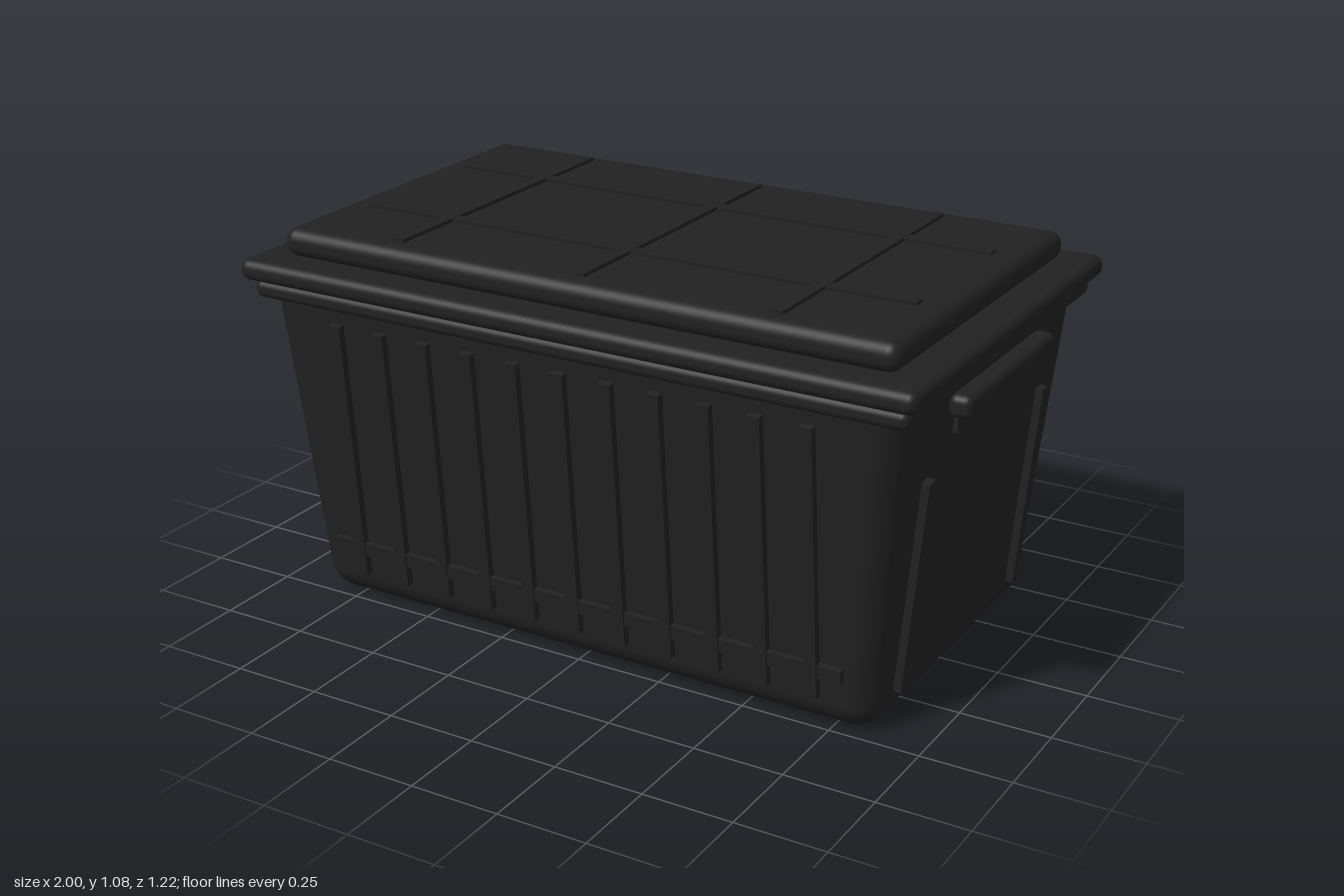
import * as THREE from 'three';
import { RoundedBoxGeometry } from 'three/addons/geometries/RoundedBoxGeometry.js';

const BASE_X = 0.862, BASE_Z = 0.492;    // half sizes of the tub at the floor
const SLOPE_X = 0.092, SLOPE_Z = 0.085;  // outward lean of the walls
const TUB_H = 0.96;

export function createModel() {
  const model = new THREE.Group();
  model.name = 'storageBox';
  const plastic = new THREE.MeshStandardMaterial({ color: 0x212121 });
  plastic.name = 'black plastic';

  const add = (name, geometry, x, y, z, parent = model) => {
    const mesh = new THREE.Mesh(geometry, plastic);
    mesh.name = name;
    mesh.position.set(x, y, z);
    parent.add(mesh);
    return mesh;
  };
  const slab = (name, halfX, y0, y1, halfZ, radius) =>
    add(name, new RoundedBoxGeometry(halfX * 2, y1 - y0, halfZ * 2, 5, radius), 0, (y0 + y1) / 2, 0);

  // Tub: rounded box widened towards the top, normals tilted to match
  const tub = new RoundedBoxGeometry(BASE_X * 2, TUB_H, BASE_Z * 2, 6, 0.075);
  tub.translate(0, TUB_H / 2, 0);
  const p = tub.attributes.position, n = tub.attributes.normal;
  const v = new THREE.Vector3();
  for (let i = 0; i < p.count; i++) {
    const y = p.getY(i);
    v.fromBufferAttribute(n, i);
    v.y -= SLOPE_X * Math.abs(v.x) + SLOPE_Z * Math.abs(v.z);
    v.normalize();
    n.setXYZ(i, v.x, v.y, v.z);
    p.setX(i, p.getX(i) * (1 + SLOPE_X * y / BASE_X));
    p.setZ(i, p.getZ(i) * (1 + SLOPE_Z * y / BASE_Z));
  }
  add('tub', tub, 0, 0, 0);

  // Rim and stepped lid
  slab('tubRim', 0.97, 0.885, 0.934, 0.587, 0.02);
  slab('lidRim', 1.0, 0.935, 0.995, 0.612, 0.026);
  slab('lidTop', 0.913, 0.993, 1.073, 0.527, 0.035);

  // Lid ribs
  for (const z of [-0.23, 0.23])
    add('lidLongRib', new THREE.BoxGeometry(1.66, 0.03, 0.036), 0, 1.067, z);
  for (const x of [-0.565, 0, 0.565])
    add('lidCrossRib', new THREE.BoxGeometry(0.034, 0.03, 0.94), x, 1.068, 0);

  for (const side of [1, -1]) {
    // Front and back walls: eleven leaning ribs and a low rail
    const wall = new THREE.Group();
    wall.name = side > 0 ? 'frontRibs' : 'backRibs';
    if (side < 0) wall.rotation.y = Math.PI;
    model.add(wall);
    const tiltZ = Math.atan(SLOPE_Z);
    for (let i = -5; i <= 5; i++)
      add('wallRib', new THREE.BoxGeometry(0.036, 0.76, 0.044), i * 0.141, 0.47,
        BASE_Z + SLOPE_Z * 0.47, wall).rotation.x = tiltZ;
    add('wallRail', new THREE.BoxGeometry(1.58, 0.038, 0.034), 0, 0.171,
      BASE_Z + SLOPE_Z * 0.171, wall).rotation.x = tiltZ;

    // End walls: two ribs, grip bar and the plate under it
    const end = new THREE.Group();
    end.name = side > 0 ? 'leftEnd' : 'rightEnd';
    if (side < 0) end.rotation.y = Math.PI;
    model.add(end);
    for (const z of [-0.365, 0.365])
      add('endRib', new THREE.BoxGeometry(0.044, 0.59, 0.036), BASE_X + SLOPE_X * 0.385,
        0.385, z, end).rotation.z = -Math.atan(SLOPE_X);
    add('handle', new RoundedBoxGeometry(0.065, 0.064, 0.56, 4, 0.022), 0.9675, 0.844, 0, end);
    add('handlePlate', new THREE.BoxGeometry(0.03, 0.07, 0.456), 0.931, 0.79, 0, end);
  }
  return model;
}
